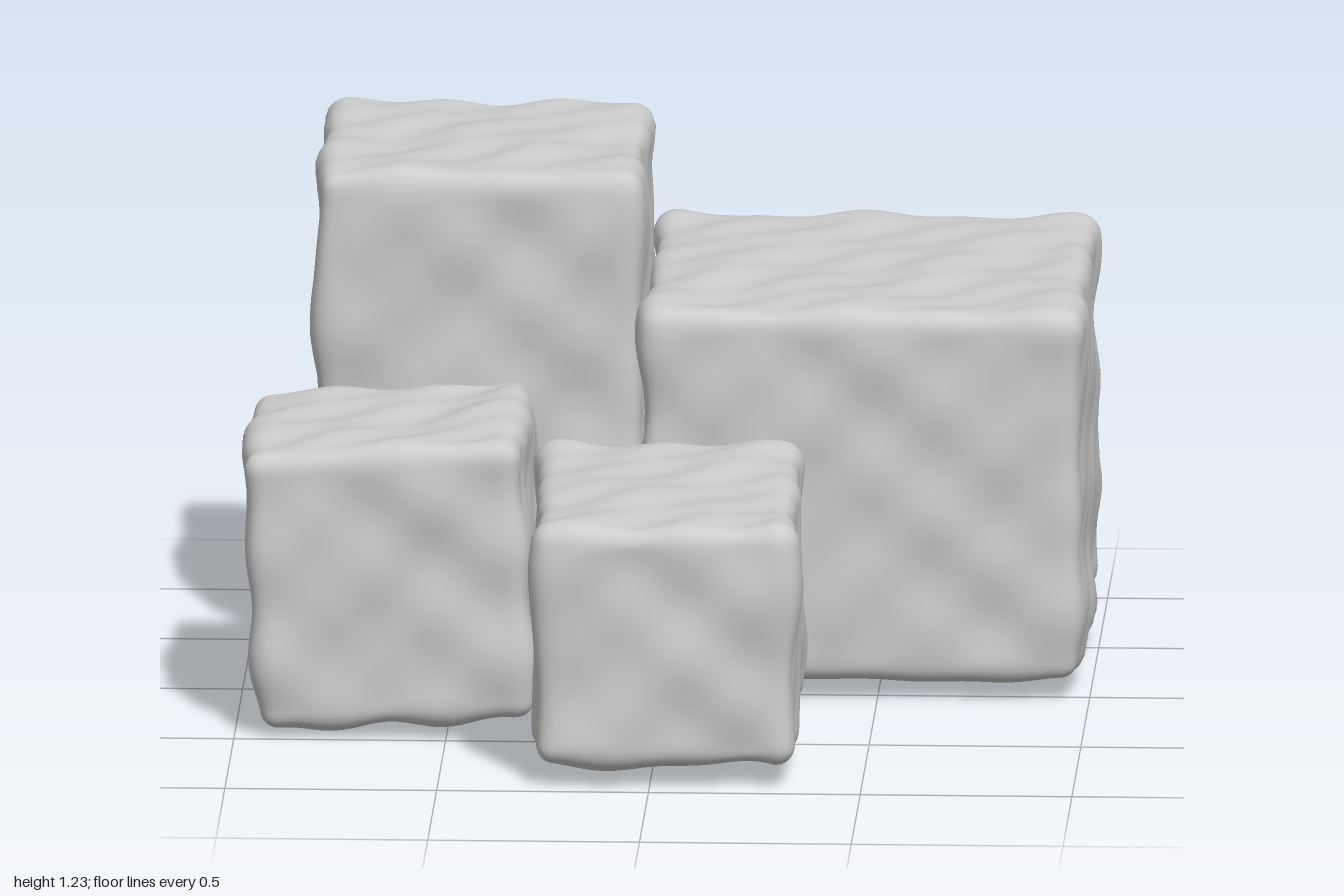
import * as THREE from 'three';
import { mergeVertices } from 'three/addons/utils/BufferGeometryUtils.js';

// Smooth, repeatable bumps from a few crossed waves
function bump(p, seed) {
  const a = Math.sin(p.x * 13 + p.y * 5 + seed) * Math.sin(p.y * 15 - p.z * 6 + seed * 2.3);
  const b = Math.sin(p.z * 14 + p.x * 7 + seed * 1.7) * Math.sin(p.x * 19 - p.y * 9 + seed * 0.6);
  const c = Math.sin(p.y * 25 + p.z * 17 + seed * 3.1) * Math.sin(p.x * 23 + p.z * 21 + seed);
  return 0.008 * a + 0.008 * b + 0.005 * c;
}

// Box with rounded edges and a gently uneven, hewn surface
function roughBlock(w, h, d, seed, radius = 0.05, segments = 32) {
  let geometry = new THREE.BoxGeometry(2, 2, 2, segments, segments, segments);
  geometry.deleteAttribute('uv');
  geometry.deleteAttribute('normal');
  geometry = mergeVertices(geometry, 1e-4);
  const half = new THREE.Vector3(w / 2, h / 2, d / 2);
  const inner = half.clone().subScalar(radius);
  const pos = geometry.attributes.position;
  const p = new THREE.Vector3(), core = new THREE.Vector3(), out = new THREE.Vector3();
  const tighten = (t) => 0.5 * t + 0.5 * Math.sin(t * Math.PI / 2); // denser near edges
  for (let i = 0; i < pos.count; i++) {
    p.fromBufferAttribute(pos, i);
    p.set(tighten(p.x), tighten(p.y), tighten(p.z)).multiply(half);
    core.copy(p).clamp(inner.clone().negate(), inner);
    out.copy(p).sub(core).normalize();
    p.copy(core).addScaledVector(out, radius + bump(core, seed));
    pos.setXYZ(i, p.x, p.y, p.z);
  }
  geometry.computeVertexNormals();
  return geometry;
}

export function createModel() {
  const group = new THREE.Group();
  group.name = 'stoneBlocks';
  const material = new THREE.MeshStandardMaterial({ color: 0xcccccc });

  // size, centre, tilt of each block
  const blocks = [
    { name: 'tallBlock', size: [0.77, 1.20, 0.78], at: [-0.45, 0.625, -0.545], turn: [0, 0, 0] },
    { name: 'largeBlock', size: [1.04, 0.90, 1.04], at: [0.46, 0.50, -0.455], turn: [0, 0, 0] },
    { name: 'leaningBlock', size: [0.66, 0.68, 0.67], at: [-0.635, 0.375, 0.17], turn: [0, 0, 0.06] },
    { name: 'frontBlock', size: [0.62, 0.585, 0.91], at: [0.025, 0.348, 0.52], turn: [0, 0.028, 0] },
  ];
  blocks.forEach(({ name, size, at, turn }, i) => {
    const mesh = new THREE.Mesh(roughBlock(...size, 1.3 + i * 2.1), material);
    mesh.name = name;
    mesh.position.set(...at);
    mesh.rotation.set(...turn);
    group.add(mesh);
  });
  return group;
}
